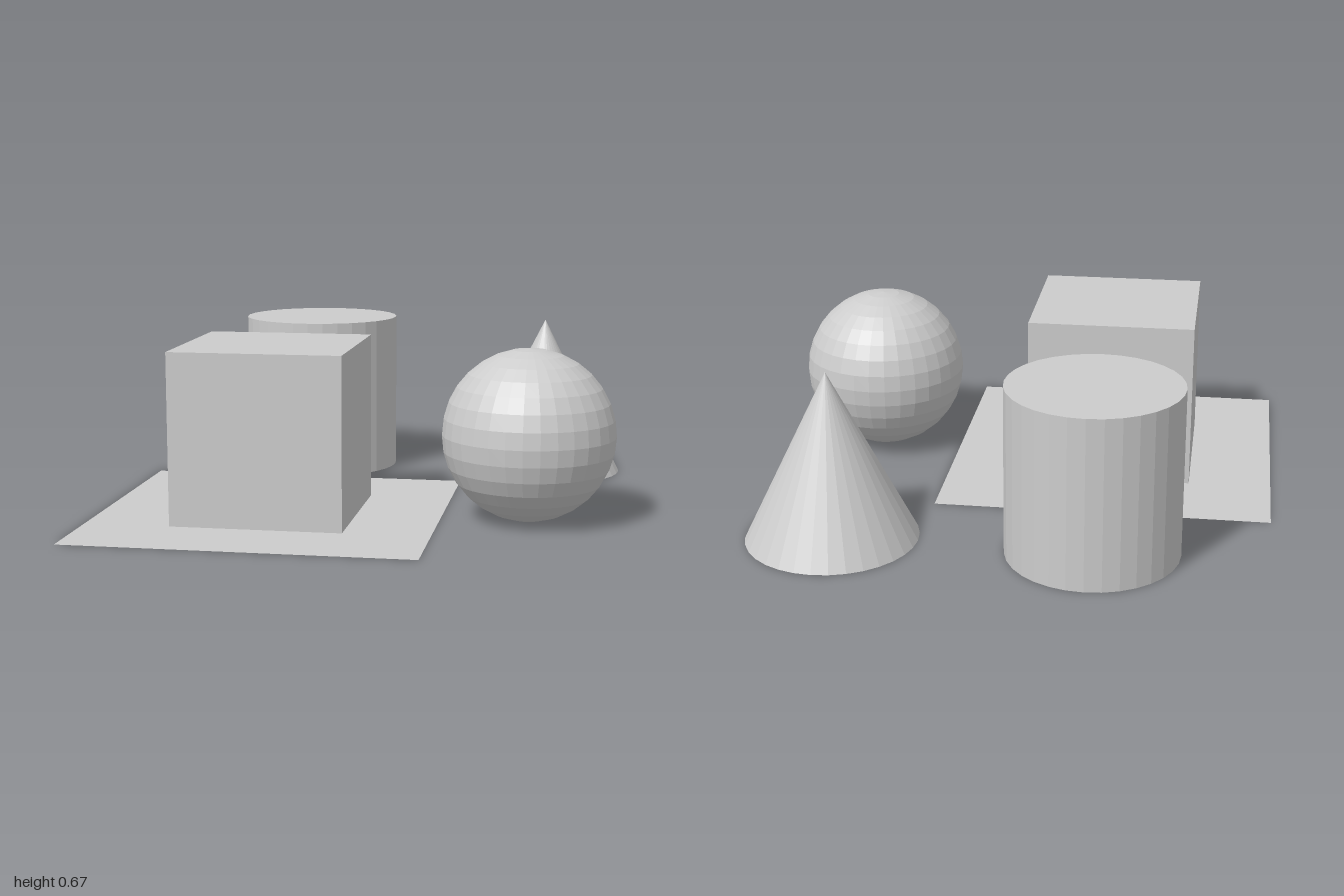
import * as THREE from 'three';

export function createModel() {
  const group = new THREE.Group();
  const R = 1 / 3; // shared radius / half-size of every solid

  const grey = new THREE.MeshStandardMaterial({ color: 0xcccccc, flatShading: true });
  grey.name = 'plain grey';
  grey.side = THREE.DoubleSide;

  const add = (name, geometry, x, y, z) => {
    const mesh = new THREE.Mesh(geometry, grey);
    mesh.name = name;
    mesh.position.set(x, y, z);
    group.add(mesh);
  };

  // Flat square sheet under the cube
  add('groundSheet', new THREE.PlaneGeometry(4 * R, 4 * R).rotateX(-Math.PI / 2), -R, 0, R);

  // Four basic solids, all standing at the same level
  add('cube', new THREE.BoxGeometry(2 * R, 2 * R, 2 * R), -R, R, R);
  add('sphere', new THREE.SphereGeometry(R, 32, 16), 2 * R, R, R);
  add('cylinder', new THREE.CylinderGeometry(R, R, 2 * R, 32), -R, R, -2 * R);
  add('cone', new THREE.ConeGeometry(R, 2 * R, 32), 2 * R, R, -2 * R);

  return group;
}
